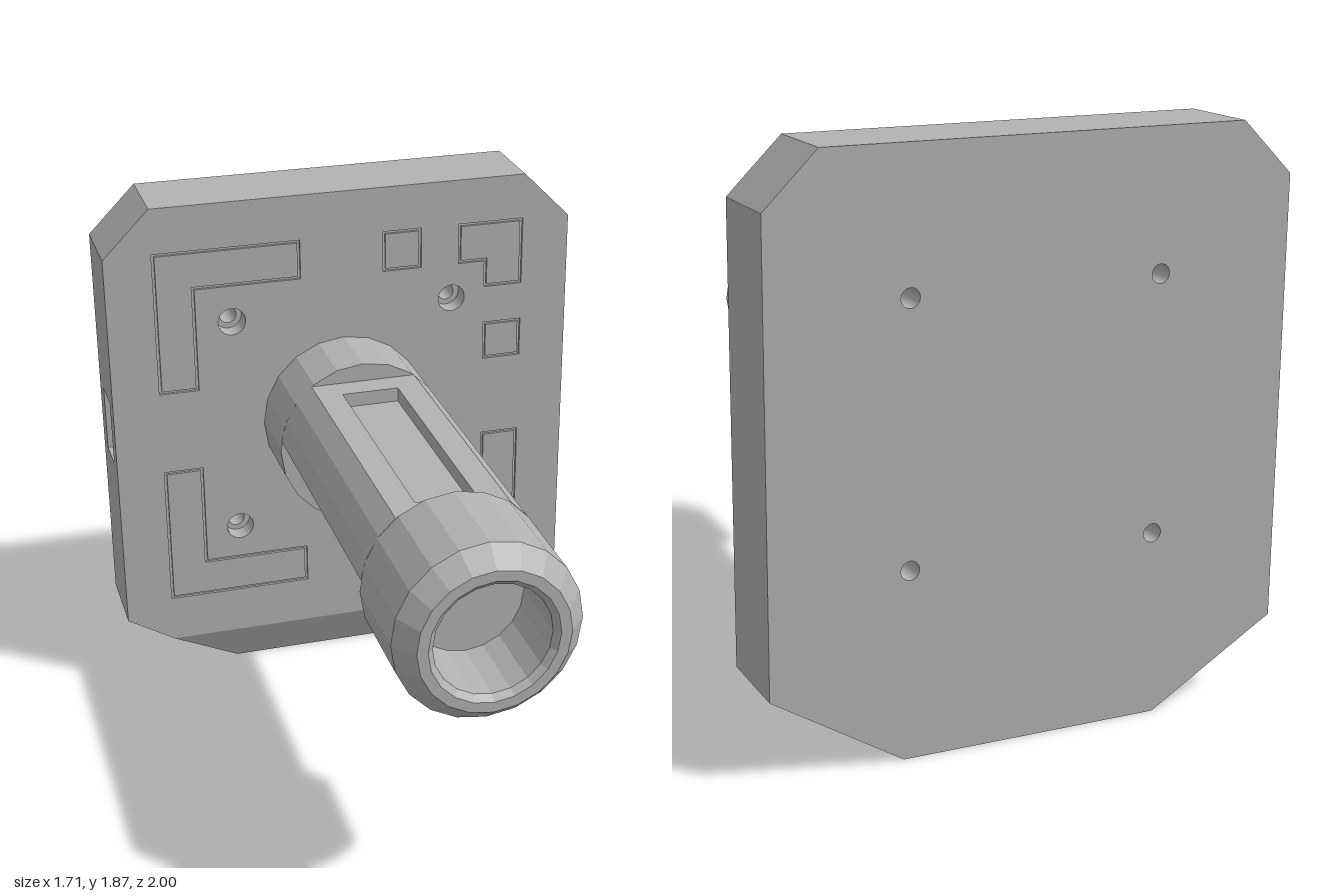
import * as THREE from 'three';

const grey = new THREE.MeshStandardMaterial({ color: 0xb2b2b2 });
grey.name = 'plain grey';

const FACE = -0.71, BACK = -1, AXIS = 1.01;
const vecs = (pts) => pts.map(([x, y]) => new THREE.Vector2(x, y));

function addMesh(parent, name, geometry) {
  const mesh = new THREE.Mesh(geometry, grey);
  mesh.name = name;
  parent.add(mesh);
  return mesh;
}

// Slab with a flat outline and holes, running from z0 to z1
function slab(points, z0, z1, holes = []) {
  const shape = new THREE.Shape(vecs(points));
  shape.holes.push(...holes);
  const g = new THREE.ExtrudeGeometry(shape, { depth: z1 - z0, bevelEnabled: false, curveSegments: 16 });
  return g.translate(0, 0, z0);
}

// Shrinks a counter-clockwise right-angled outline by d
function inset(points, d) {
  const n = points.length;
  const normal = (a, b) => {
    const l = Math.hypot(b[0] - a[0], b[1] - a[1]);
    return [-(b[1] - a[1]) / l, (b[0] - a[0]) / l];
  };
  return points.map((p, i) => {
    const u = normal(points[(i + n - 1) % n], p);
    const v = normal(p, points[(i + 1) % n]);
    return [p[0] + d * (u[0] + v[0]), p[1] + d * (u[1] + v[1])];
  });
}

// Outlines engraved in the face of the plate, counter-clockwise
const engravings = [
  [[-0.685, 1.17], [-0.54, 1.17], [-0.54, 1.555], [-0.155, 1.555], [-0.155, 1.7], [-0.685, 1.7]],
  [[0.15, 1.55], [0.295, 1.55], [0.295, 1.7], [0.15, 1.7]],
  [[0.435, 1.55], [0.535, 1.55], [0.535, 1.45], [0.68, 1.45], [0.68, 1.7], [0.435, 1.7]],
  [[0.535, 1.165], [0.68, 1.165], [0.68, 1.31], [0.535, 1.31]],
  [[-0.685, 0.33], [-0.155, 0.33], [-0.155, 0.475], [-0.54, 0.475], [-0.54, 0.86], [-0.685, 0.86]],
  [[0.15, 0.33], [0.68, 0.33], [0.68, 0.86], [0.535, 0.86], [0.535, 0.475], [0.15, 0.475]],
];

function boltHoles(radius) {
  const holes = [];
  for (const x of [-0.41, 0.41]) {
    for (const y of [AXIS - 0.41, AXIS + 0.41]) {
      holes.push(new THREE.Path().absarc(x, y, radius, 0, Math.PI * 2, true));
    }
  }
  return holes;
}

function createPlate() {
  const plate = new THREE.Group();
  plate.name = 'mountingPlate';
  const rightSide = [
    [-0.683, 0.155], [0.683, 0.155], [0.855, 0.26], [0.855, 1.695],
    [0.685, 1.865], [-0.685, 1.865], [-0.855, 1.695],
  ];
  const outline = [...rightSide, [-0.855, 0.26]];
  // Blind socket opening in one side edge
  const socketOutline = [
    ...rightSide, [-0.855, 1.13], [-0.455, 1.13], [-0.455, 0.89], [-0.855, 0.89], [-0.855, 0.26],
  ];

  const panels = engravings.map((e) => new THREE.Path(vecs([...e].reverse())));
  addMesh(plate, 'plateFace', slab(outline, FACE - 0.01, FACE, [...boltHoles(0.05), ...panels]));
  addMesh(plate, 'plateCounterboreLayer', slab(outline, -0.78, FACE - 0.01, boltHoles(0.05)));
  addMesh(plate, 'plateSocketLayer', slab(socketOutline, -0.92, -0.78, boltHoles(0.03)));
  addMesh(plate, 'plateBack', slab(outline, BACK, -0.92, boltHoles(0.03)));

  // Panels left standing inside the engraved grooves
  for (const e of engravings) {
    addMesh(plate, 'engravedPanel', slab(inset(e, 0.01), FACE - 0.01, FACE));
  }

  // Bottom edge, with its front bevelled back
  const foot = slab([[-0.43, 0], [0.43, 0], [0.683, 0.155], [-0.683, 0.155]], BACK, FACE);
  const pos = foot.attributes.position;
  for (let i = 0; i < pos.count; i++) {
    if (pos.getY(i) < 0.01 && pos.getZ(i) > -0.8) pos.setZ(i, -0.78);
  }
  foot.computeVertexNormals();
  addMesh(plate, 'plateBevelledFoot', foot);
  return plate;
}

const R = 0.305, FLAT = 0.24, FLOOR = 0.19, SLOT = 0.1;

// Round bar cross-section with three flats, each optionally recessed
function barSection(recessed) {
  const half = Math.acos(FLAT / R);
  const width = R * Math.sin(half);
  const pts = [];
  for (let k = 0; k < 3; k++) {
    const a = Math.PI / 2 + (k * Math.PI * 2) / 3;
    const put = (out, side) => pts.push([
      out * Math.cos(a) - side * Math.sin(a),
      out * Math.sin(a) + side * Math.cos(a),
    ]);
    put(FLAT, -width);
    if (recessed) {
      put(FLAT, -SLOT);
      put(FLOOR, -SLOT);
      put(FLOOR, SLOT);
      put(FLAT, SLOT);
    }
    put(FLAT, width);
    // rounded rib up to the next flat
    const span = (Math.PI * 2) / 3 - 2 * half;
    for (let i = 1; i < 3; i++) {
      const t = a + half + (span * i) / 3;
      pts.push([R * Math.cos(t), R * Math.sin(t)]);
    }
  }
  return pts;
}

function turned(profile) {
  const g = new THREE.LatheGeometry(vecs(profile), 20).toNonIndexed();
  g.rotateX(Math.PI / 2);
  g.computeVertexNormals();
  return g;
}

function createSpindle() {
  const spindle = new THREE.Group();
  spindle.name = 'spindle';
  spindle.position.y = AXIS;

  addMesh(spindle, 'rearCollar', turned([[R, FACE], [R, -0.45], [0, -0.45]]));
  addMesh(spindle, 'rearFlats', slab(barSection(false), -0.45, -0.355));
  addMesh(spindle, 'recessedFlats', slab(barSection(true), -0.355, 0.505));
  addMesh(spindle, 'frontFlats', slab(barSection(false), 0.505, 0.59));
  // Front collar with chamfered nose and a blind bore
  addMesh(spindle, 'frontCollar', turned([
    [0, 0.59], [R, 0.59], [R, 0.93], [0.245, 1], [0.21, 1], [0.19, 0.98], [0.19, 0.72], [0, 0.72],
  ]));
  return spindle;
}

export function createModel() {
  const model = new THREE.Group();
  model.name = 'spindleMount';
  model.add(createPlate(), createSpindle());
  return model;
}
